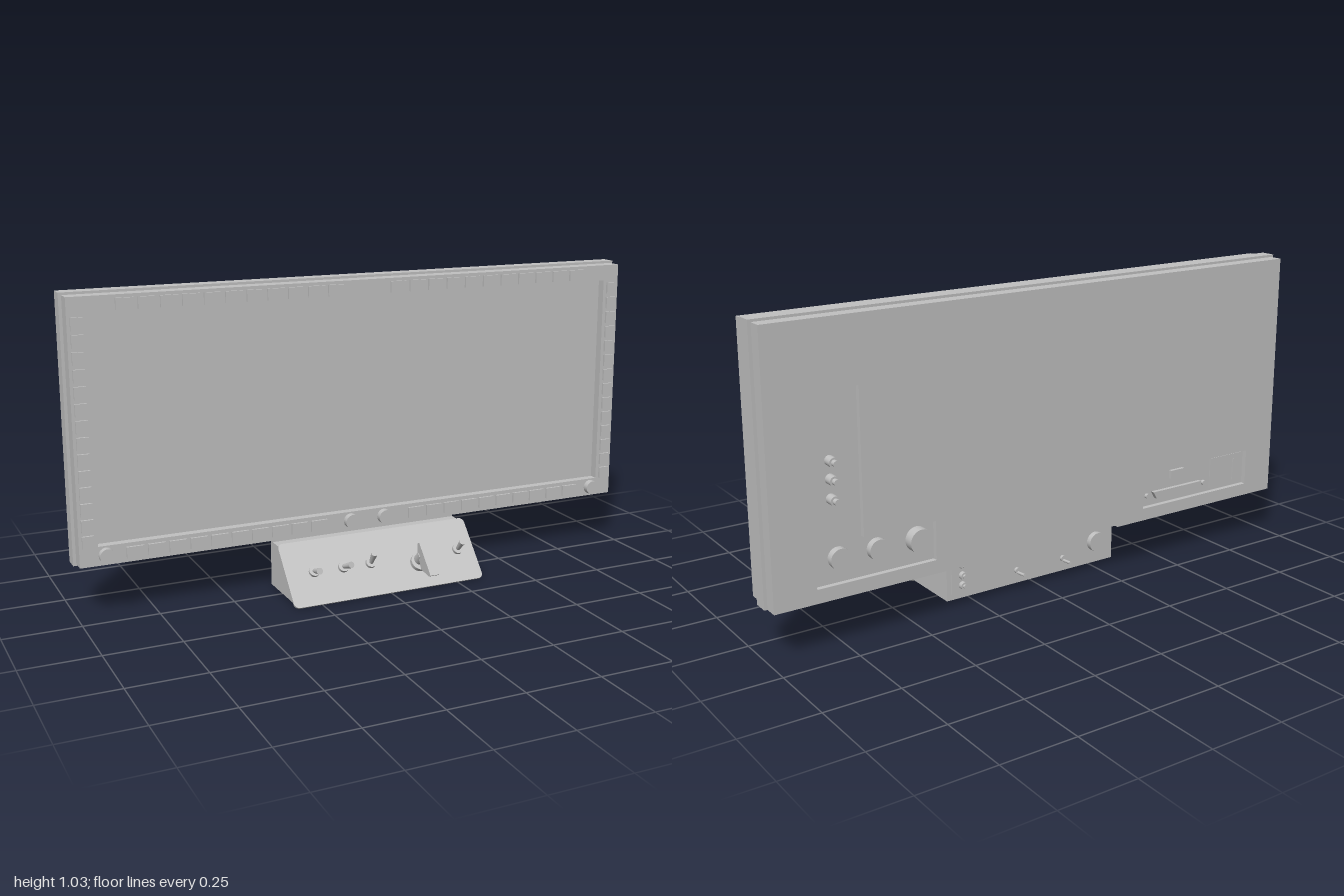
import * as THREE from 'three';

export function createModel() {
  const model = new THREE.Group();
  const grey = new THREE.MeshStandardMaterial({ color: 0xc0c0c0 });
  grey.name = 'plain grey';

  const add = (name, geo, x = 0, y = 0, z = 0, parent = model) => {
    const m = new THREE.Mesh(geo, grey);
    m.name = name;
    m.position.set(x, y, z);
    parent.add(m);
    return m;
  };
  // box given by its limits
  const block = (name, x0, x1, y0, y1, z0, z1, parent = model) =>
    add(name, new THREE.BoxGeometry(x1 - x0, y1 - y0, z1 - z0),
      (x0 + x1) / 2, (y0 + y1) / 2, (z0 + z1) / 2, parent);
  // cylinder along z between z0 and z1
  const disc = (name, x, y, r, z0, z1, parent = model, r2 = r) => {
    const g = new THREE.CylinderGeometry(r2, r, Math.abs(z1 - z0), 24);
    g.rotateX(z1 > z0 ? Math.PI / 2 : -Math.PI / 2);
    return add(name, g, x, y, (z0 + z1) / 2, parent);
  };
  const points = (list) => list.map(([x, y]) => new THREE.Vector2(x, y));
  const rect = (x0, x1, y0, y1) => [[x0, y0], [x1, y0], [x1, y1], [x0, y1]];
  // flat slab with cut-outs between z0 and z1
  const slab = (name, outline, holes, z0, z1) => {
    const s = new THREE.Shape(points(outline));
    holes.forEach((h) => s.holes.push(new THREE.Path(points(h))));
    return add(name, new THREE.ExtrudeGeometry(s, { depth: z1 - z0, bevelEnabled: false }), 0, 0, z0);
  };
  // side profile in (z, y), extruded along x
  const profile = (name, list, x0, x1) => {
    const s = new THREE.Shape(points(list.map(([z, y]) => [-z, y])));
    const g = new THREE.ExtrudeGeometry(s, { depth: x1 - x0, bevelEnabled: false });
    g.rotateY(Math.PI / 2);
    return add(name, g, x0, 0, 0);
  };

  // Display housing: framed front, wider middle band, rear cover with recesses
  const housing = rect(-0.99, 0.99, 0.177, 1.027);
  slab('frontFrame', housing, [rect(-0.93, 0.93, 0.24, 0.973)], -0.066, -0.037);
  block('screen', -0.99, 0.99, 0.177, 1.027, -0.088, -0.066);
  block('middleBand', -1, 1, 0.17, 1.035, -0.14, -0.088);
  block('rearCore', -0.99, 0.99, 0.177, 1.027, -0.168, -0.14);
  const lPocket = [[0.44, 0.215], [0.85, 0.215], [0.85, 0.815], [0.69, 0.815], [0.69, 0.345], [0.44, 0.345]];
  slab('rearCover', housing, [lPocket, rect(-0.87, -0.39, 0.213, 0.34)], -0.186, -0.168);
  for (const s of [-1, 1]) {
    block('rearBottomLip', Math.min(s * 0.28, s * 0.99), Math.max(s * 0.28, s * 0.99), 0.17, 0.177, -0.186, -0.14);
  }

  // Bezel keys along all four edges
  const key = (x, y, w, h) => block('bezelKey', x - w / 2, x + w / 2, y - h / 2, y + h / 2, -0.037, -0.029);
  for (const s of [-1, 1]) {
    for (let i = 0; i < 11; i++) key(s * (0.112 + 0.07 * i), 0.998, 0.058, 0.037);
    for (let i = 0; i < 10; i++) key(s * (0.182 + 0.07 * i), 0.209, 0.058, 0.037);
    for (let i = 0; i < 14; i++) key(s * 0.961, 0.945 - 0.0527 * i, 0.038, 0.04);
  }
  for (const x of [-0.905, -0.065, 0.06, 0.905]) disc('bezelKnob', x, 0.21, 0.025, -0.037, -0.016);

  // Rear L-shaped pocket: small connectors and round sockets
  for (const y of [0.6, 0.543, 0.482]) {
    disc('rearConnectorBase', 0.785, y, 0.016, -0.168, -0.2);
    disc('rearConnectorTip', 0.785, y, 0.01, -0.2, -0.216);
  }
  disc('rearSocket', 0.77, 0.295, 0.034, -0.168, -0.192);
  disc('rearSocket', 0.64, 0.295, 0.034, -0.168, -0.192);
  disc('rearLargeSocket', 0.5, 0.295, 0.04, -0.168, -0.203);

  // Rear rectangular pocket: ports
  block('smallPort', -0.58, -0.52, 0.295, 0.325, -0.18, -0.168);
  slab('widePort', [[-0.66, 0.262], [-0.645, 0.236], [-0.455, 0.236], [-0.44, 0.262]], [], -0.182, -0.168);
  for (const x of [-0.68, -0.42]) disc('portScrew', x, 0.25, 0.009, -0.168, -0.178);
  block('portCover', -0.86, -0.71, 0.22, 0.333, -0.172, -0.168);
  block('portCoverSlot', -0.822, -0.816, 0.235, 0.315, -0.176, -0.172);

  // Control stand: wedge body, neck and rear plate
  profile('standBody', [[0.145, 0.01], [0.006, 0.164], [-0.078, 0.164], [-0.078, 0.01]], -0.34, 0.34);
  block('standNeck', -0.34, 0.34, 0.16, 0.178, -0.078, -0.06);
  block('standRearPlate', -0.325, 0.325, 0.032, 0.153, -0.085, -0.078);

  // Sloped control panel, in its own tilted frame
  const panel = new THREE.Group();
  panel.name = 'controlPanel';
  panel.position.set(0, 0.088, 0.0765);
  panel.rotation.x = -0.734;
  model.add(panel);
  const w = 0.348, h = 0.115, r = 0.018;
  const plate = new THREE.Shape();
  plate.moveTo(-w + r, -h);
  plate.lineTo(w - r, -h).absarc(w - r, -h + r, r, -Math.PI / 2, 0);
  plate.lineTo(w, h - r).absarc(w - r, h - r, r, 0, Math.PI / 2);
  plate.lineTo(-w + r, h).absarc(-w + r, h - r, r, Math.PI / 2, Math.PI);
  plate.lineTo(-w, -h + r).absarc(-w + r, -h + r, r, Math.PI, Math.PI * 1.5);
  add('panelPlate', new THREE.ExtrudeGeometry(plate, { depth: 0.006, bevelEnabled: false }), 0, 0, -0.003, panel);

  // Toggle switches: [x, tilt about x, tilt about y]
  for (const [x, tilt, turn] of [[-0.25, 0.45, 0], [-0.145, 0.35, 0.2], [-0.045, -0.25, 0], [0.285, -0.1, 0]]) {
    disc('toggleNut', x, 0, 0.018, 0.003, 0.013, panel);
    const lever = new THREE.Group();
    lever.name = 'toggleLever';
    lever.position.set(x, 0, 0.013);
    lever.rotation.set(tilt, turn, 0);
    disc('toggleStem', 0, 0, 0.007, -0.004, 0.045, lever, 0.011);
    panel.add(lever);
  }

  // Large selector: stepped collar with a flat paddle
  disc('selectorCollar', 0.128, -0.026, 0.031, 0.003, 0.018, panel);
  disc('selectorStem', 0.128, -0.02, 0.02, 0.018, 0.06, panel);
  profile('selectorPaddle', [[0.216, 0.066], [0.205, 0.06], [0.148, 0.066], [0.12, 0.115], [0.12, 0.15], [0.131, 0.156]],
    0.111, 0.145);

  // Stand rear controls
  for (const y of [0.129, 0.093, 0.058]) {
    disc('standConnector', 0.285, y, 0.013, -0.085, -0.1);
    disc('standConnectorTip', 0.285, y, 0.007, -0.1, -0.107);
  }
  disc('standKnob', -0.26, 0.092, 0.034, -0.085, -0.104);
  for (const x of [0.07, -0.12]) {
    disc('standLeverBase', x, 0.06, 0.01, -0.085, -0.095);
    disc('standLever', x, 0.055, 0.005, -0.09, -0.132).rotation.x = 0.08;
  }
  return model;
}
